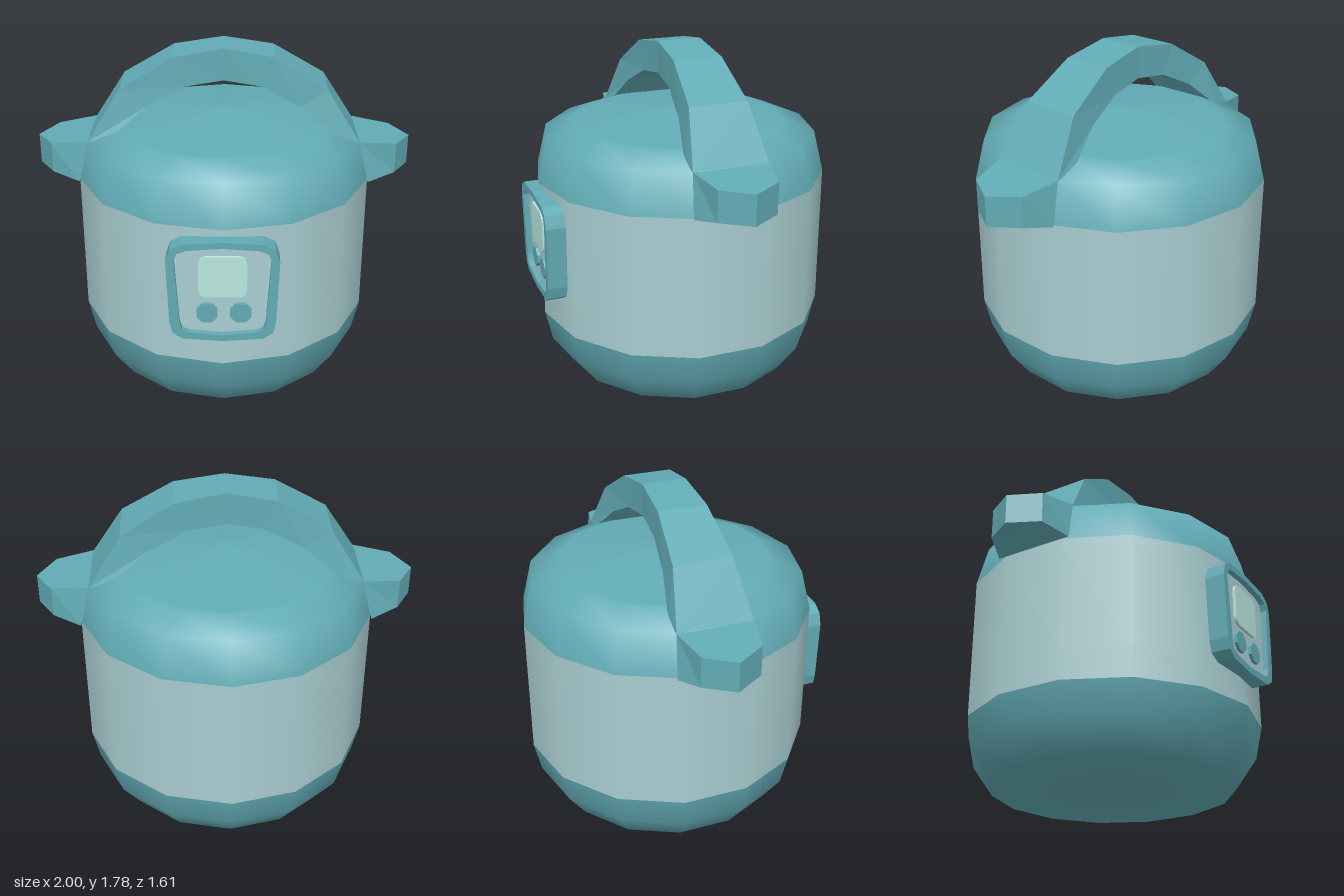
import * as THREE from 'three';

const CZ = -0.015; // depth of the body axis
const SIDES = 14;

const paint = (color, flatShading = false) =>
  new THREE.MeshStandardMaterial({ color, flatShading, side: THREE.DoubleSide });
const teal = paint(0x62abb5);
const tealFlat = paint(0x62abb5, true);
const steel = paint(0xa9cdd1);
const mint = paint(0xb8e6de);

function part(name, geometry, material, x = 0, y = 0, z = 0) {
  const mesh = new THREE.Mesh(geometry, material);
  mesh.name = name;
  mesh.position.set(x, y, z);
  return mesh;
}

const lathe = (points) =>
  new THREE.LatheGeometry(points.map(([r, y]) => new THREE.Vector2(r, y)), SIDES);

// Skin over four-cornered sections running along x.
// Each section: [top x, top y, bottom x, bottom y, top half width, bottom half width]
function loft(sections) {
  const pos = [], index = [];
  sections.forEach(([tx, ty, bx, by, tw, bw = tw], i) => {
    pos.push(tx, ty, tw, bx, by, bw, bx, by, -bw, tx, ty, -tw);
    if (i === 0) return;
    for (let j = 0; j < 4; j++) {
      const k = (j + 1) % 4, a = (i - 1) * 4, b = i * 4;
      index.push(a + j, a + k, b + k, a + j, b + k, b + j);
    }
  });
  const g = new THREE.BufferGeometry();
  g.setAttribute('position', new THREE.Float32BufferAttribute(pos, 3));
  g.setIndex(index);
  const flat = g.toNonIndexed();
  flat.computeVertexNormals();
  return flat;
}

const mirrored = (sections) =>
  sections.map(([tx, ty, bx, by, ...w]) => [-tx, ty, -bx, by, ...w]).reverse();

// Closed outline from its right half, listed top to bottom
function symmetric(half, Type = THREE.Shape) {
  const left = half.slice(1, -1).reverse().map(([x, y]) => [-x, y]);
  return new Type([...half, ...left].map(([x, y]) => new THREE.Vector2(x, y)));
}

const extrude = (shape, depth) =>
  new THREE.ExtrudeGeometry(shape, { depth, bevelEnabled: false, curveSegments: 4 });

function createBody() {
  const body = new THREE.Group();
  body.name = 'body';
  body.position.z = CZ;

  // Middle band, pressed in slightly behind the control panel
  const band = lathe([[0.785, 0.325], [0.785, 0.48], [0.785, 1.04], [0.785, 1.085]]);
  const p = band.attributes.position;
  for (let i = 0; i < p.count; i++) {
    const inPanel = p.getY(i) > 0.4 && p.getY(i) < 1.06;
    if (inPanel && Math.abs(p.getX(i)) < 0.01 && p.getZ(i) > 0) p.setZ(i, 0.74 - CZ);
  }

  body.add(
    part('base', lathe([[0, 0], [0.64, 0], [0.748, 0.155], [0.785, 0.325]]), teal),
    part('band', band, steel),
    part('lidRim', lathe([[0.785, 1.085], [0.73, 1.305], [0.573, 1.365]]), teal),
    part('lidTop', lathe([[0.573, 1.365], [0, 1.44]]), teal),
  );
  return body;
}

function createHandle() {
  const handle = new THREE.Group();
  handle.name = 'handle';
  handle.position.z = CZ - 0.003;

  // Carrying arch, wider toward its feet
  const half = [
    [0.265, 1.74, 0.2, 1.585, 0.13],
    [0.54, 1.575, 0.4, 1.485, 0.155],
    [0.71, 1.305, 0.6, 1.32, 0.2],
  ];
  const arch = [...mirrored(half), [0, 1.785, 0, 1.615, 0.118], ...half];
  handle.add(part('arch', loft(arch), tealFlat));

  // Pointed side grips
  const grip = [
    [0.71, 1.305, 0.765, 1.085, 0.2, 0.215],
    [0.91, 1.28, 0.91, 1.117, 0.155],
    [1, 1.27, 1, 1.11, 0],
  ];
  handle.add(
    part('leftGrip', loft(grip), tealFlat),
    part('rightGrip', loft(mirrored(grip)), tealFlat),
  );
  return handle;
}

function createPanel() {
  const panel = new THREE.Group();
  panel.name = 'controlPanel';

  const outer = [[0, 1.037], [0.2, 1.027], [0.257, 0.995], [0.278, 0.93],
    [0.265, 0.59], [0.25, 0.53], [0.2, 0.497], [0, 0.483]];
  const inner = [[0, 1.005], [0.176, 0.993], [0.222, 0.975], [0.237, 0.94],
    [0.215, 0.59], [0.203, 0.55], [0.166, 0.533], [0, 0.518]];

  const frame = symmetric(outer);
  frame.holes.push(symmetric(inner, THREE.Path));
  panel.add(
    part('panelFrame', extrude(frame, 0.105), tealFlat, 0, 0, 0.7),
    part('panelFace', extrude(symmetric(inner), 0.07), steel, 0, 0, 0.705),
  );

  // Rounded display
  const w = 0.12, h = 0.112, r = 0.04;
  const display = new THREE.Shape();
  display.absarc(w - r, h - r, r, 0, Math.PI / 2);
  display.absarc(r - w, h - r, r, Math.PI / 2, Math.PI);
  display.absarc(r - w, r - h, r, Math.PI, Math.PI * 1.5);
  display.absarc(w - r, r - h, r, Math.PI * 1.5, Math.PI * 2);
  panel.add(part('display', extrude(display, 0.02), mint, 0, 0.838, 0.77));

  // Two round buttons
  for (const x of [-0.078, 0.09]) {
    const button = new THREE.CylinderGeometry(0.057, 0.057, 0.02, 8);
    button.rotateY(Math.PI / 8).rotateX(Math.PI / 2);
    panel.add(part('button', button, tealFlat, x, 0.636, 0.782));
  }
  return panel;
}

export function createModel() {
  const model = new THREE.Group();
  model.name = 'riceCooker';
  model.add(createBody(), createHandle(), createPanel());
  return model;
}
